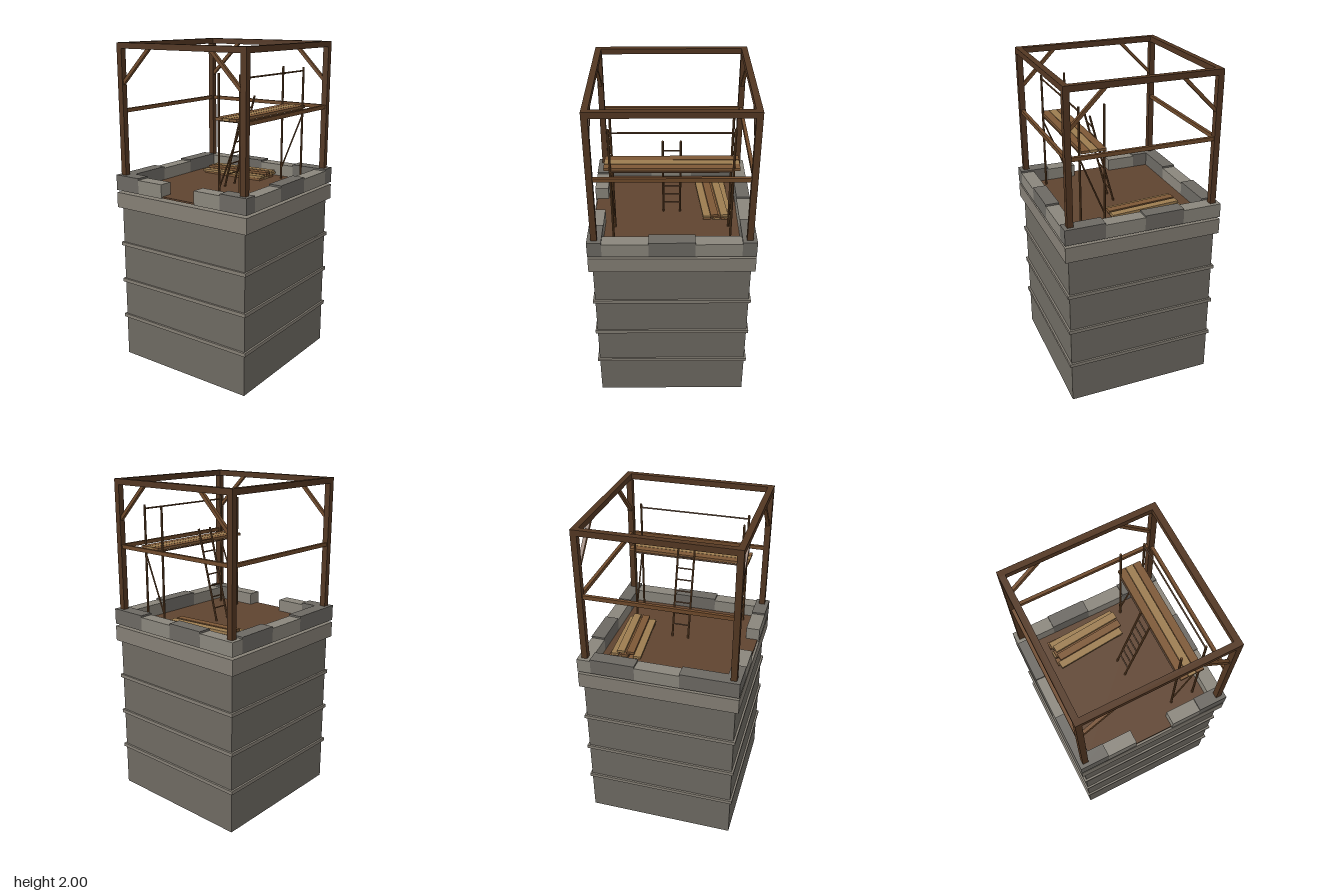
import * as THREE from 'three';

const mat = (color) => new THREE.MeshStandardMaterial({ color, flatShading: true });
const M = {
  wall: mat(0x6e6a62), trim: mat(0x857f75), lightStone: mat(0x8a867c), darkStone: mat(0x6c6963),
  floor: mat(0x5f4430), timber: mat(0x533722), rail: mat(0x6f4a2b), pole: mat(0x694729),
  plank: mat(0x7d5836), palePlank: mat(0x9c7c50),
};

export function createModel() {
  const model = new THREE.Group();
  model.name = 'unfinishedTower';
  const group = (name) => {
    const g = new THREE.Group();
    g.name = name;
    model.add(g);
    return g;
  };

  // Box given by its minimum and maximum on each axis
  const box = (parent, name, x0, x1, y0, y1, z0, z1, material) => {
    const mesh = new THREE.Mesh(new THREE.BoxGeometry(x1 - x0, y1 - y0, z1 - z0), material);
    mesh.position.set((x0 + x1) / 2, (y0 + y1) / 2, (z0 + z1) / 2);
    mesh.name = name;
    parent.add(mesh);
    return mesh;
  };

  // Bar between two points, square or round
  const bar = (parent, name, a, b, size, material, round = true) => {
    const from = new THREE.Vector3(...a), to = new THREE.Vector3(...b);
    const len = from.distanceTo(to);
    const geo = round
      ? new THREE.CylinderGeometry(size / 2, size / 2, len, 8)
      : new THREE.BoxGeometry(size, len, size);
    const mesh = new THREE.Mesh(geo, material);
    mesh.position.copy(from).lerp(to, 0.5);
    mesh.quaternion.setFromUnitVectors(new THREE.Vector3(0, 1, 0), to.sub(from).normalize());
    mesh.name = name;
    parent.add(mesh);
  };

  // Stone shaft with string courses and a cap
  const shaft = group('shaft');
  const slab = (name, r, y0, y1, material) => box(shaft, name, -r, r, y0, y1, -r, r, material);
  slab('shaftWall', 0.462, 0, 1, M.wall);
  for (const y of [0.27, 0.515, 0.76]) slab('stringCourse', 0.474, y - 0.011, y + 0.011, M.trim);
  slab('cap', 0.485, 1, 1.095, M.trim);
  slab('floor', 0.475, 1.11, 1.12, M.floor);

  // Parapet of alternating blocks, open at the front
  const parapet = group('parapet');
  const block = (dark, x0, x1, z0, z1) => box(parapet, 'parapetBlock', x0, x1, 1.11,
    dark ? 1.206 : 1.195, z0, z1, dark ? M.darkStone : M.lightStone);
  const inner = 0.402, outer = 0.485;
  const backEdges = [-outer, -0.243, 0, 0.243, outer];
  for (let i = 0; i < 4; i++) block(i % 2 === 1, backEdges[i], backEdges[i + 1], -outer, -inner);
  block(true, -outer, -0.305, inner, outer);
  block(false, -0.305, -0.122, inner, outer);
  block(false, 0.122, 0.305, inner, outer);
  block(true, 0.305, outer, inner, outer);
  const sideEdges = [-inner, -0.134, 0.134, inner];
  for (let i = 0; i < 3; i++) {
    block(i % 2 === 0, -outer, -inner, sideEdges[i], sideEdges[i + 1]);
    block(i % 2 === 1, inner, outer, sideEdges[i], sideEdges[i + 1]);
  }

  // Timber frame: posts, top beams, middle rails, corner braces
  const frame = group('timberFrame');
  const c = 0.444, h = 0.018;
  for (const s of [-1, 1]) {
    for (const t of [-1, 1]) {
      box(frame, 'cornerPost', s * c - h, s * c + h, 1.12, 1.966, t * c - h, t * c + h, M.timber);
      bar(frame, 'cornerBrace', [s * 0.435, 1.76, t * c], [s * 0.225, 1.97, t * c], 0.02, M.rail, false);
    }
    box(frame, 'topBeam', -c - h, c + h, 1.966, 2, s * c - h, s * c + h, M.timber);
    box(frame, 'topBeam', s * c - h, s * c + h, 1.966, 2, -c + h, c - h, M.timber);
    box(frame, 'sideRail', s * c - 0.01, s * c + 0.01, 1.587, 1.61, -c, c, M.rail);
  }
  box(frame, 'backRail', -c, c, 1.587, 1.61, -c - 0.01, -c + 0.01, M.rail);

  // Scaffold with a plank deck and guard rail
  const scaffold = group('scaffold');
  const xs = [0.194, 0.34], ze = 0.34;
  for (const x of xs) {
    for (const z of [-ze, ze]) bar(scaffold, 'scaffoldPole', [x, 1.12, z], [x, 1.845, z], 0.014, M.pole);
    bar(scaffold, 'ledger', [x, 1.585, -ze], [x, 1.585, ze], 0.01, M.pole);
  }
  for (const z of [-ze, ze]) {
    bar(scaffold, 'transom', [xs[0], 1.585, z], [xs[1], 1.585, z], 0.01, M.pole);
    bar(scaffold, 'diagonalBrace', [xs[0], 1.19, z], [xs[1], 1.55, z], 0.01, M.pole);
  }
  bar(scaffold, 'guardRail', [xs[1], 1.823, -ze], [xs[1], 1.823, ze], 0.01, M.pole);
  for (let i = 0; i < 3; i++) {
    const x = 0.195 + i * 0.049;
    box(scaffold, 'deckPlank', x, x + 0.046, 1.59, 1.606, -0.376, 0.376, i === 1 ? M.palePlank : M.plank);
  }

  // Leaning ladder
  const ladder = group('ladder');
  const foot = [0.025, 1.12], head = [0.172, 1.685];
  for (const z of [-0.051, 0.051]) bar(ladder, 'ladderRail', [...foot, z], [...head, z], 0.013, M.pole);
  for (let i = 0; i < 7; i++) {
    const y = 1.2 + i * 0.069;
    const x = foot[0] + (head[0] - foot[0]) * (y - foot[1]) / (head[1] - foot[1]);
    bar(ladder, 'rung', [x, y, -0.051], [x, y, 0.051], 0.009, M.pole);
  }

  // Loose pile of planks: centre x, z, layer, turn, pale
  const pile = group('plankPile');
  const planks = [
    [-0.095, -0.328, 0, -0.01, 0], [-0.095, -0.268, 0, 0.02, 1], [-0.097, -0.212, 0, 0.02, 0],
    [-0.085, -0.33, 1, 0.06, 1], [-0.085, -0.266, 1, 0.05, 0], [-0.087, -0.195, 1, 0.09, 1],
    [-0.075, -0.3, 2, 0.09, 1], [-0.075, -0.24, 2, 0.09, 0],
  ];
  for (const [x, z, layer, turn, pale] of planks) {
    const y = 1.121 + layer * 0.017;
    const plank = box(pile, 'loosePlank', x - 0.22, x + 0.22, y, y + 0.015, z - 0.023, z + 0.023,
      pale ? M.palePlank : M.plank);
    plank.rotation.y = turn;
  }
  return model;
}
